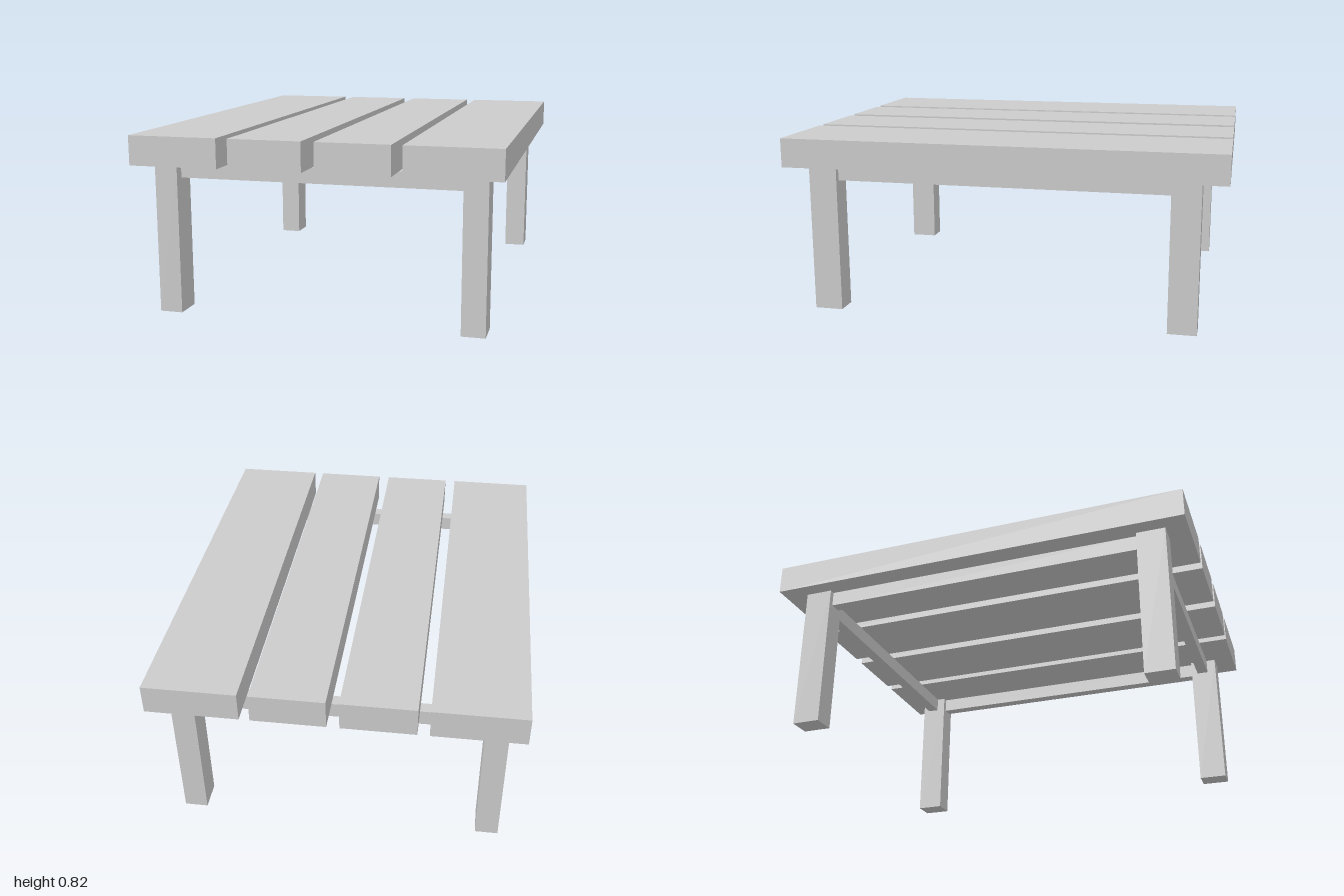
import * as THREE from 'three';

export function createModel() {
  const model = new THREE.Group();
  model.name = 'slattedTable';
  const material = new THREE.MeshStandardMaterial({ color: 0xcccccc, flatShading: true });

  // Box given by its extents along each axis
  function addBox(name, [x0, x1], [y0, y1], [z0, z1]) {
    const mesh = new THREE.Mesh(new THREE.BoxGeometry(x1 - x0, y1 - y0, z1 - z0), material);
    mesh.position.set((x0 + x1) / 2, (y0 + y1) / 2, (z0 + z1) / 2);
    mesh.name = name;
    model.add(mesh);
  }

  const underside = 0.687;
  const railY = [0.617, underside];

  // Table top: two wide outer planks and two narrower inner ones
  const planks = [[-0.818, -0.41], [-0.358, -0.03], [0.026, 0.355], [0.402, 0.816]];
  planks.forEach((x, i) => addBox(`plank${i + 1}`, x, [underside, 0.82], [-1, 1]));

  // Legs
  const legX = { right: [-0.747, -0.642], left: [0.637, 0.743] };
  const legZ = { Back: [-0.885, -0.755], Front: [0.77, 0.902] };
  for (const side in legX) {
    for (const end in legZ) addBox(`${side}${end}Leg`, legX[side], [0, underside], legZ[end]);
  }

  // End rails between the legs, across the planks
  addBox('frontRail', [legX.right[1], legX.left[0]], railY, [0.802, 0.857]);
  addBox('backRail', [legX.right[1], legX.left[0]], railY, [-0.853, -0.798]);

  // Side rails, centred on the legs
  for (const side in legX) {
    const centre = (legX[side][0] + legX[side][1]) / 2;
    addBox(`${side}SideRail`, [centre - 0.027, centre + 0.027], railY, [legZ.Back[1], legZ.Front[0]]);
  }

  return model;
}
